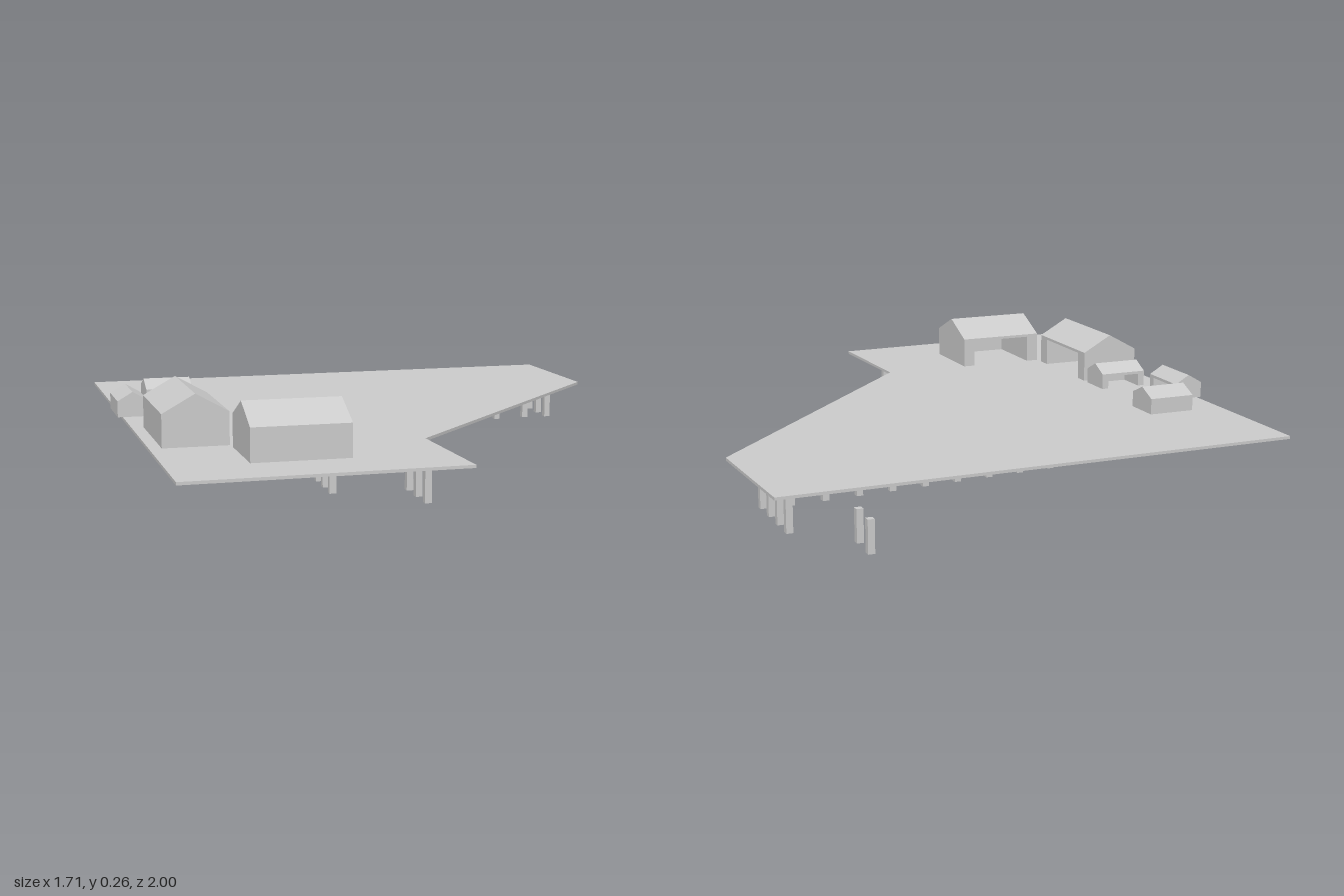
import * as THREE from 'three';

const YAW = -0.449; // the whole pier is turned to run along its front edge
const DECK_TOP = 0.12;
const mat = new THREE.MeshStandardMaterial({ color: 0xcccccc, flatShading: true });

function add(parent, geometry, name) {
  const mesh = new THREE.Mesh(geometry, mat);
  mesh.name = name;
  parent.add(mesh);
  return mesh;
}

// Extrudes an x/y outline along z, starting at z0
function prism(points, z0, depth) {
  const shape = new THREE.Shape(points.map(([x, y]) => new THREE.Vector2(x, y)));
  return new THREE.ExtrudeGeometry(shape, { depth, bevelEnabled: false }).translate(0, 0, z0);
}

// Gabled shed: ridge along local z, open on the local -x side between two end walls
function shed(name, x, z, width, length, wall, ridge, turn) {
  const group = new THREE.Group();
  group.name = name;
  const w = width / 2, l = length / 2, end = length * 0.14;
  const inner = w - 0.012, head = wall - 0.008;
  const gable = [[-w, 0], [w, 0], [w, wall], [0, ridge], [-w, wall]];
  const bay = [[inner, 0], [w, 0], [w, wall], [0, ridge], [-w, wall], [-w, head], [inner, head]];
  add(group, prism(gable, -l, end), 'endWall');
  add(group, prism(gable, l - end, end), 'endWall');
  add(group, prism(bay, -l + end, length - 2 * end), 'roofAndBackWall');
  group.position.set(x, DECK_TOP, z);
  group.rotation.y = YAW + turn;
  return group;
}

export function createModel() {
  const model = new THREE.Group();
  model.name = 'pier';

  // Deck slab
  const outline = [[-0.235, -1], [0.13, -0.835], [0.52, 0.19], [0.853, 0.335], [0.545, 1], [-0.86, 0.323]];
  const deck = prism(outline, 0, 0.008);
  deck.rotateX(Math.PI / 2).translate(0, DECK_TOP, 0);
  add(model, deck, 'deck');

  // Sheds
  const q = -Math.PI / 2;
  model.add(
    shed('largeShedRight', 0.442, 0.574, 0.215, 0.258, 0.088, 0.137, 0),
    shed('largeShedFront', 0.085, 0.645, 0.175, 0.312, 0.088, 0.137, q),
    shed('smallShedMiddle', -0.116, 0.529, 0.1, 0.142, 0.045, 0.07, 0),
    shed('smallShedFront', -0.323, 0.55, 0.085, 0.158, 0.045, 0.07, q),
    shed('smallShedLeft', -0.41, 0.36, 0.111, 0.135, 0.045, 0.07, Math.PI)
  );

  // Rows of square piles: start, end, count, height
  const rows = [
    ['frontPile', 0.45, 0.45, -0.31, 0.062, 12, 0.113],
    ['sidePile', -0.295, -0.02, -0.015, -0.745, 9, 0.113],
    ['backPile', 0.02, -0.81, -0.185, -0.91, 4, 0.113],
    ['notchPile', 0.55, 0.275, 0.69, 0.342, 3, 0.113],
    ['freePost', -0.45, -0.893, -0.37, -0.85, 2, 0.087],
  ];
  for (const [name, x0, z0, x1, z1, count, height] of rows) {
    const geometry = new THREE.BoxGeometry(0.018, height, 0.018);
    for (let i = 0; i < count; i++) {
      const t = i / (count - 1);
      const pile = add(model, geometry, name);
      pile.position.set(x0 + (x1 - x0) * t, height / 2, z0 + (z1 - z0) * t);
      pile.rotation.y = YAW;
    }
  }
  return model;
}
